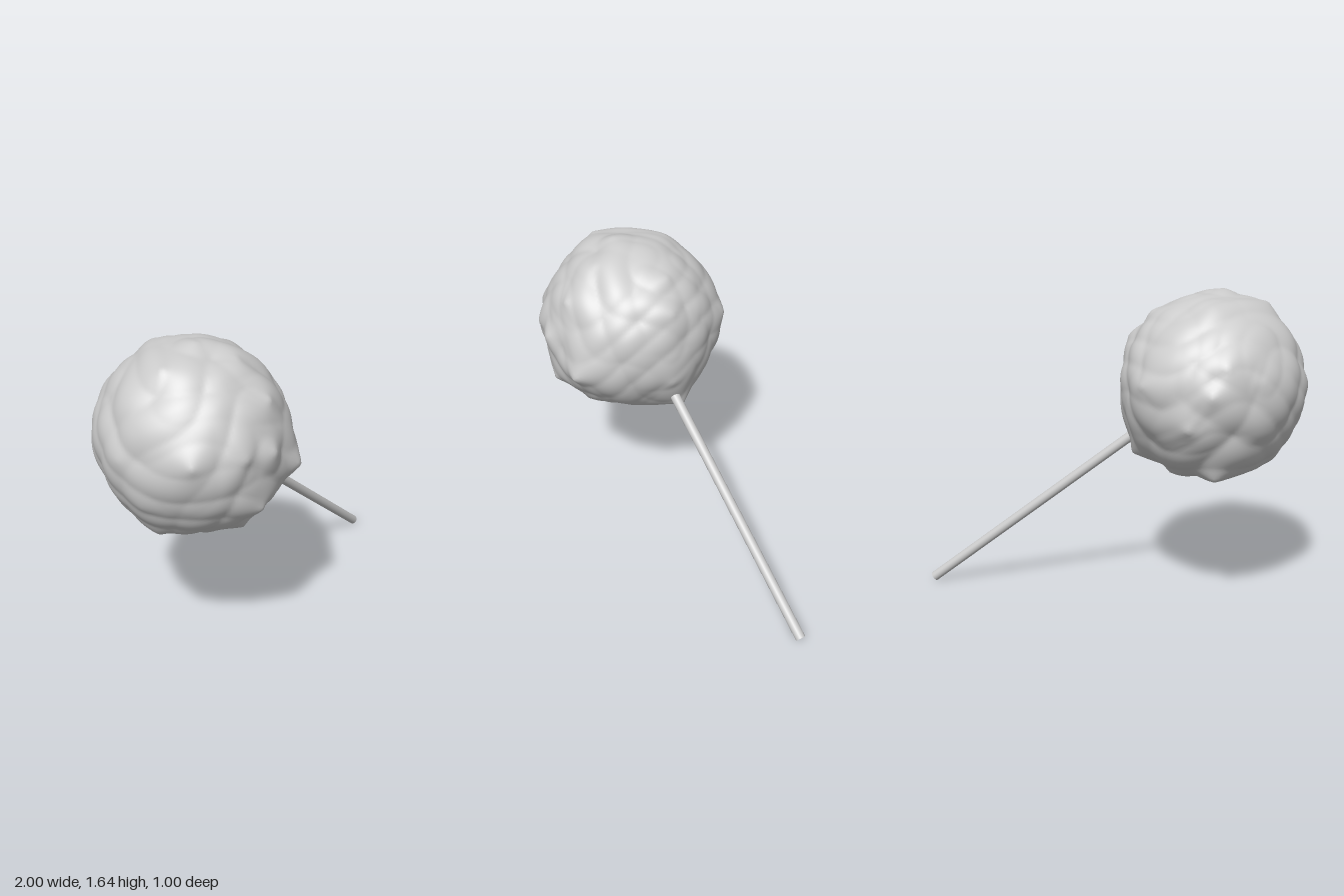
import * as THREE from 'three';
import { mergeVertices } from 'three/addons/utils/BufferGeometryUtils.js';

const CENTRE = new THREE.Vector3(-0.53, 1.165, 0);

// Corners of the crumpled ball, as offsets from its centre
const CORNERS = [
  [-0.04, 0.475, 0.07], [-0.26, 0.42, 0.06], [0.31, 0.37, -0.03], [0.05, 0.42, 0.24], [0, 0.42, -0.22],
  [-0.47, 0.03, -0.03], [-0.42, -0.2, 0.05], [-0.29, -0.4, 0.03], [-0.05, -0.475, 0.1], [0.2, -0.44, -0.1],
  [0.4, -0.36, -0.06], [0.46, -0.15, 0.05], [0.43, 0.23, 0.02], [0.05, 0.26, 0.42], [-0.02, 0.05, 0.5],
  [0.21, -0.1, 0.485], [-0.05, -0.24, 0.46], [0, -0.4, 0.3], [-0.04, -0.41, -0.32], [0.08, -0.13, -0.48],
  [-0.03, 0.04, -0.5], [-0.1, 0.17, -0.455], [0.32, 0.06, -0.38], [-0.38, 0.05, 0.32], [-0.18, 0.05, 0.465],
  [-0.26, 0.1, -0.39], [0.38, 0.02, 0.26],
].map((c) => new THREE.Vector3(...c));

// Gentle creases: absolute values of warped waves make narrow valleys
function crease(d) {
  const a = Math.sin(5 * d.x + 3 * d.y + 1.5 * Math.sin(4 * d.z + 1));
  const b = Math.sin(6 * d.z - 4 * d.y + 1.5 * Math.sin(5 * d.x + 2));
  const c = Math.sin(9 * d.y + 5 * d.z + 2 * Math.sin(4 * d.x));
  return 0.010 * Math.abs(a) + 0.009 * Math.abs(b) + 0.006 * Math.abs(c) - 0.014;
}

function crumpledBall() {
  let geo = new THREE.IcosahedronGeometry(1, 32);
  geo.deleteAttribute('normal');
  geo.deleteAttribute('uv');
  geo = mergeVertices(geo, 1e-4);
  const dirs = CORNERS.map((c) => c.clone().normalize());
  const pos = geo.attributes.position;
  const d = new THREE.Vector3();
  for (let i = 0; i < pos.count; i++) {
    d.fromBufferAttribute(pos, i).normalize();
    let lift = 0;
    dirs.forEach((dir, k) => {
      const height = CORNERS[k].length() - 0.458;
      lift = Math.max(lift, height * Math.exp(-4.5 * d.distanceTo(dir)));
    });
    d.multiplyScalar(0.458 + lift + crease(d));
    pos.setXYZ(i, d.x, d.y, d.z);
  }
  geo.computeVertexNormals();
  return geo;
}

export function createModel() {
  const model = new THREE.Group();
  const grey = new THREE.MeshStandardMaterial({ color: 0xcccccc });

  // Crumpled head
  const ball = new THREE.Mesh(crumpledBall(), grey);
  ball.name = 'crumpledBall';
  ball.position.copy(CENTRE);
  model.add(ball);

  // Straight stick running down to the ground
  const top = new THREE.Vector3(-0.3, 1.025, 0);
  const tip = new THREE.Vector3(0.983, 0.021, 0);
  const axis = top.clone().sub(tip);
  const stick = new THREE.Mesh(new THREE.CylinderGeometry(0.026, 0.026, axis.length(), 24), grey);
  stick.name = 'stick';
  stick.position.copy(top).add(tip).multiplyScalar(0.5);
  stick.quaternion.setFromUnitVectors(new THREE.Vector3(0, 1, 0), axis.normalize());
  model.add(stick);

  return model;
}
